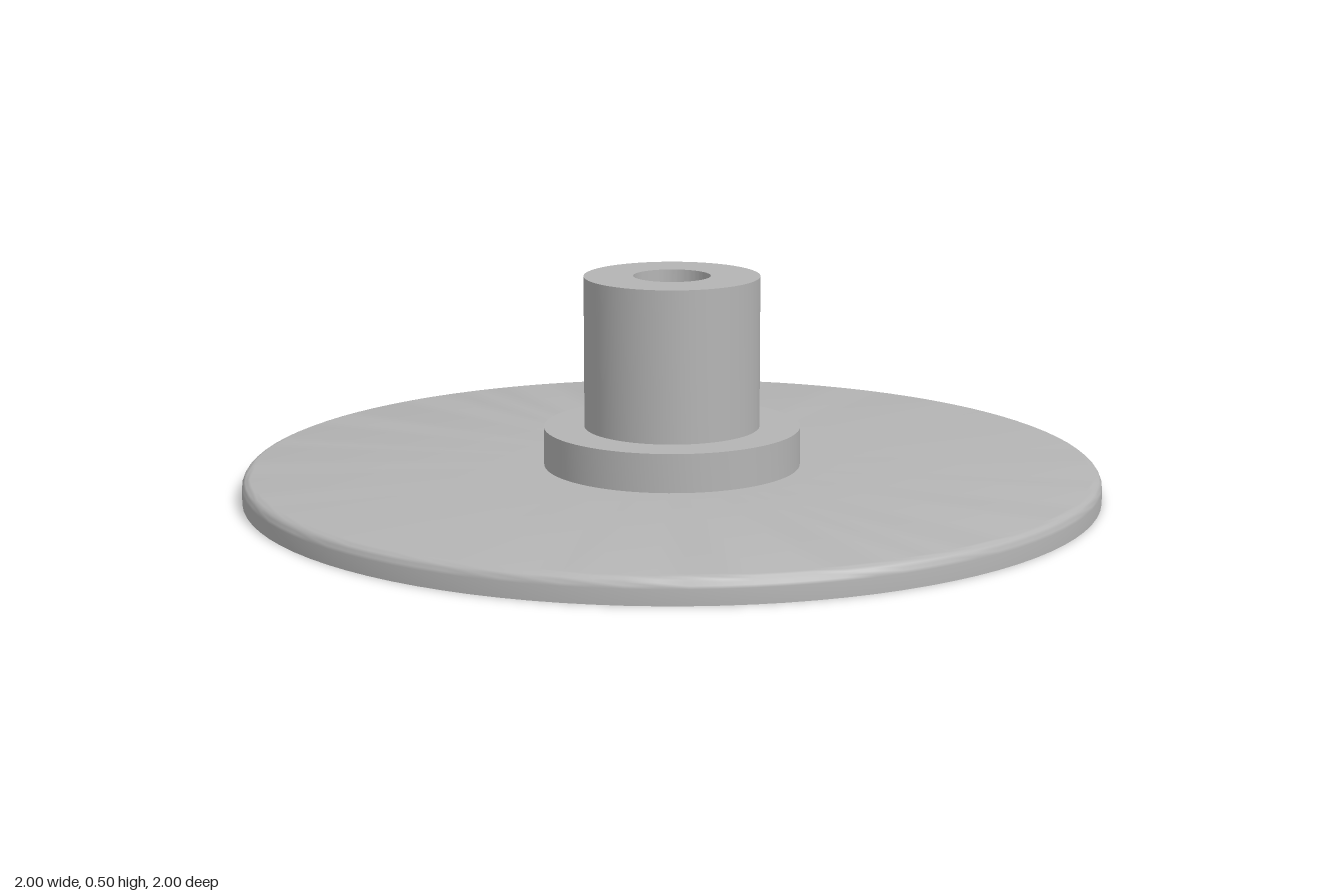
import * as THREE from 'three';
import { toCreasedNormals } from 'three/addons/utils/BufferGeometryUtils.js';

const SEGMENTS = 96;
const DISC_R = 1, DISC_TOP = 0.06, EDGE = 0.025;
const FLANGE_R = 0.3, FLANGE_TOP = 0.15;
const HUB_R = 0.205, HUB_TOP = 0.505;
const SOCKET_R = 0.145, SOCKET_TOP = 0.3;
const NECK_R = 0.07, BORE_R = 0.09, BORE_FLOOR = 0.37;
const SCREW_R = 0.045, SCREW_RING = 0.22, SCREW_DEPTH = 0.1;

export function createModel() {
  const group = new THREE.Group();
  const metal = new THREE.MeshStandardMaterial({ color: 0xb4b4b4 });
  metal.name = 'grey metal';

  const add = (name, geometry) => {
    const mesh = new THREE.Mesh(geometry, metal);
    mesh.name = name;
    group.add(mesh);
    return mesh;
  };
  // Turned part: profile runs with the solid on its left-hand side
  const turned = (name, profile, segments = SEGMENTS) => {
    const points = profile.map(([r, y]) => new THREE.Vector2(r, y));
    return add(name, toCreasedNormals(new THREE.LatheGeometry(points, segments), 0.6));
  };

  // Disc with a rounded upper edge
  const edge = [];
  for (let i = 0; i <= 6; i++) {
    const a = (i / 6) * Math.PI / 2;
    edge.push([DISC_R - EDGE + EDGE * Math.cos(a), DISC_TOP - EDGE + EDGE * Math.sin(a)]);
  }
  turned('disc', [[DISC_R, 0], ...edge, [FLANGE_R, DISC_TOP]]);

  // Flange and hub
  turned('flange', [[FLANGE_R, DISC_TOP], [FLANGE_R, FLANGE_TOP], [HUB_R, FLANGE_TOP]]);
  turned('hub', [[HUB_R, FLANGE_TOP], [HUB_R, HUB_TOP], [BORE_R, HUB_TOP]]);

  // Stepped bore through the hub
  turned('bore', [
    [BORE_R, HUB_TOP], [BORE_R, BORE_FLOOR], [NECK_R, BORE_FLOOR],
    [NECK_R, SOCKET_TOP], [SOCKET_R, SOCKET_TOP], [SOCKET_R, 0],
  ]);

  // Underside with the socket opening and four blind screw holes
  const underside = new THREE.Shape().absarc(0, 0, DISC_R, 0, Math.PI * 2);
  const cut = (x, y, r) => underside.holes.push(new THREE.Path().absarc(x, y, r, 0, Math.PI * 2, true));
  cut(0, 0, SOCKET_R);
  for (let i = 0; i < 4; i++) {
    const a = Math.PI / 4 + i * Math.PI / 2;
    const x = SCREW_RING * Math.cos(a), z = SCREW_RING * Math.sin(a);
    cut(x, z, SCREW_R);
    turned('screwHole', [[0, SCREW_DEPTH], [SCREW_R, SCREW_DEPTH], [SCREW_R, 0]], 48).position.set(x, 0, z);
  }
  add('underside', new THREE.ShapeGeometry(underside, 48).rotateX(Math.PI / 2));

  return group;
}
